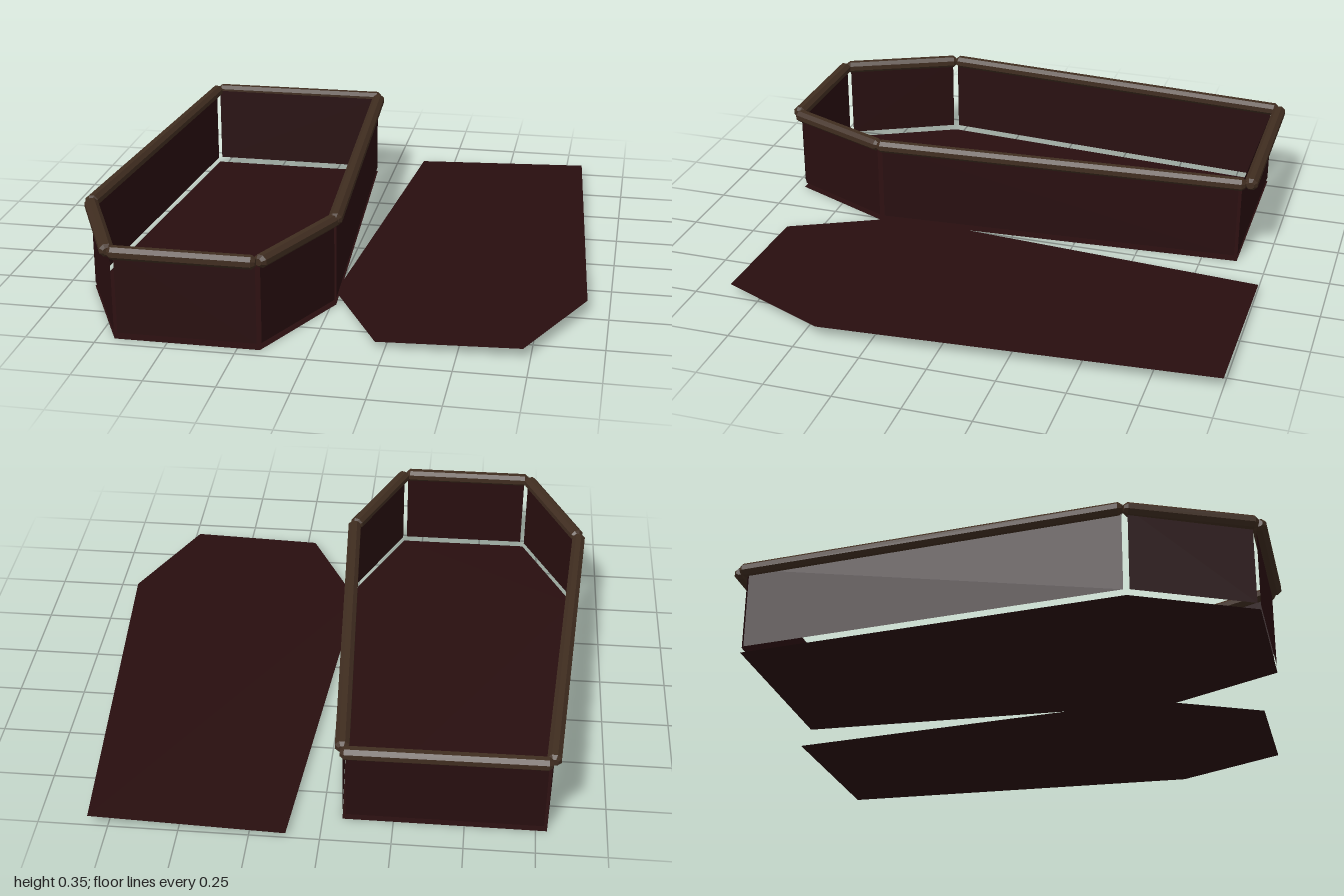
import * as THREE from 'three';

const wood = new THREE.MeshStandardMaterial({ color: 0x280e0f, side: THREE.DoubleSide });
wood.name = 'dark red wood';
const trim = new THREE.MeshStandardMaterial({ color: 0x402d20 });
trim.name = 'brown trim';

// Corner outlines as [x, z]
const boxCorners = [[-0.79, -0.885], [-0.07, -0.885], [0.017, 0.54], [-0.17, 0.957], [-0.69, 0.957], [-0.9, 0.535]];
const lidCorners = [[0.12, -1], [0.82, -1], [0.92, 0.445], [0.725, 0.867], [0.215, 0.867], [0, 0.46]];
// Rim beam ends as [x, z, x, z]
const rimBeams = [
  [-0.79, -0.912, -0.065, -0.918],
  [-0.07, -0.9, 0.014, 0.548],
  [0.011, 0.54, -0.168, 0.965],
  [-0.175, 0.968, -0.695, 0.968],
  [-0.697, 0.965, -0.9, 0.53],
  [-0.902, 0.53, -0.792, -0.905],
];
const sideNames = ['back', 'right', 'frontRight', 'front', 'frontLeft', 'left'];

function add(parent, name, geometry, material) {
  const mesh = new THREE.Mesh(geometry, material);
  mesh.name = name;
  parent.add(mesh);
  return mesh;
}

// Flat horizontal board from an outline
function board(corners) {
  const shape = new THREE.Shape(corners.map(([x, z]) => new THREE.Vector2(x, -z)));
  return new THREE.ShapeGeometry(shape).rotateX(-Math.PI / 2);
}

// Eight-sided beam with chamfered ends, lying along x
function beam(length) {
  const r = 0.027, h = length / 2, c = 0.014;
  const profile = [[0, -h], [r * 0.55, -h], [r, c - h], [r, h - c], [r * 0.55, h], [0, h]];
  const lathe = new THREE.LatheGeometry(profile.map((p) => new THREE.Vector2(...p)), 8, Math.PI / 8);
  const flat = lathe.toNonIndexed().rotateZ(Math.PI / 2).scale(1, 0.92, 1);
  flat.computeVertexNormals();
  return flat;
}

// Set a mesh modelled along x between two floor points
function span(mesh, x0, z0, x1, z1, y) {
  mesh.position.set((x0 + x1) / 2, y, (z0 + z1) / 2);
  mesh.rotation.y = -Math.atan2(z1 - z0, x1 - x0);
}

export function createModel() {
  const model = new THREE.Group();
  model.name = 'openCoffin';

  const box = new THREE.Group();
  box.name = 'box';
  model.add(box);
  add(box, 'floor', board(boxCorners), wood);

  // Thin wall panels, with narrow gaps at the corners and along the floor
  boxCorners.forEach(([x0, z0], i) => {
    const [x1, z1] = boxCorners[(i + 1) % boxCorners.length];
    const length = Math.hypot(x1 - x0, z1 - z0) - 0.022;
    const wall = add(box, sideNames[i] + 'Wall', new THREE.PlaneGeometry(length, 0.31), wood);
    span(wall, x0, z0, x1, z1, 0.178);
  });

  // Rim beams along the top of the walls
  rimBeams.forEach(([x0, z0, x1, z1], i) => {
    const length = Math.hypot(x1 - x0, z1 - z0);
    span(add(box, sideNames[i] + 'Rim', beam(length), trim), x0, z0, x1, z1, 0.331);
  });

  // Lid lying beside the box, tilted slightly
  const lid = add(model, 'lid', board(lidCorners), wood);
  lid.position.y = 0.015;
  lid.rotation.z = 0.033;
  return model;
}
